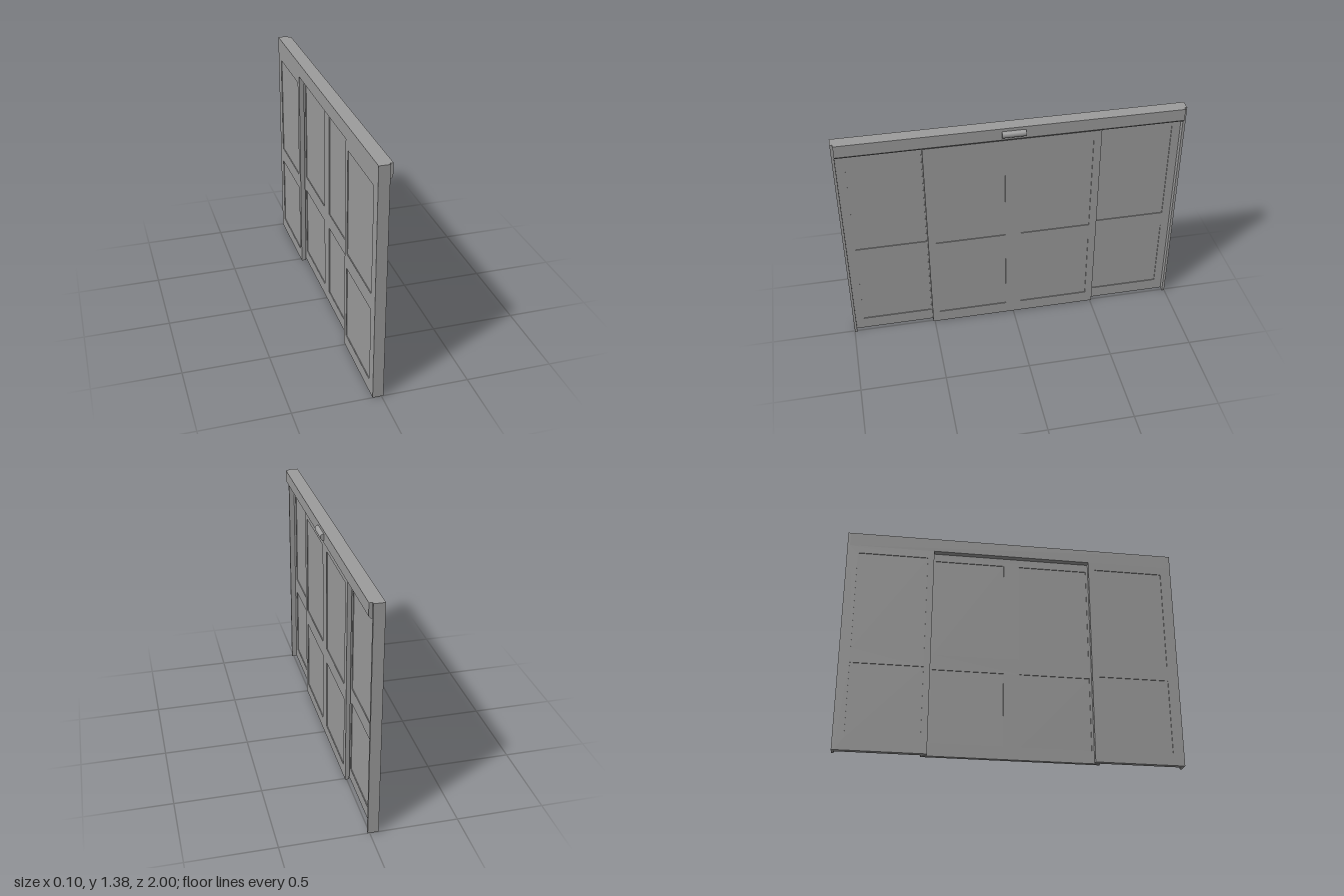
import * as THREE from 'three';

const GREY = 0x9c9c9c;
const mat = new THREE.MeshStandardMaterial({ color: GREY, flatShading: true });
const smoothMat = new THREE.MeshStandardMaterial({ color: GREY });
const H = 1.38, DOOR_TOP = 1.295, BACK = -0.05, FRONT = 0.011;

function box(name, x0, x1, y0, y1, z0, z1) {
  const m = new THREE.Mesh(new THREE.BoxGeometry(x1 - x0, y1 - y0, z1 - z0), mat);
  m.position.set((x0 + x1) / 2, (y0 + y1) / 2, (z0 + z1) / 2);
  m.name = name;
  return m;
}

function rectPath(path, z0, z1, y0, y1) {
  path.moveTo(z0, y0);
  path.lineTo(z1, y0);
  path.lineTo(z1, y1);
  path.lineTo(z0, y1);
  path.closePath();
  return path;
}

// Door panel: a frame with two openings per column and thin panes set into them
function panel(name, x0, x1, z0, z1, columns) {
  const g = new THREE.Group();
  g.name = name;
  const rows = [[0.075, 0.525], [0.62, 1.245]];
  // shape x runs along -z once the extrusion is turned to face +x
  const shape = rectPath(new THREE.Shape(), -z1, -z0, 0, DOOR_TOP);
  for (const [p0, p1] of columns) {
    for (const [y0, y1] of rows) {
      shape.holes.push(rectPath(new THREE.Path(), -p1, -p0, y0, y1));
      g.add(box('pane', x0 + 0.005, x1 - 0.005, y0, y1, p0, p1));
    }
  }
  const geo = new THREE.ExtrudeGeometry(shape, { depth: x1 - x0, bevelEnabled: false });
  geo.rotateY(Math.PI / 2);
  geo.translate(x0, 0, 0);
  const frame = new THREE.Mesh(geo, mat);
  frame.name = 'panelFrame';
  g.add(frame);
  return g;
}

// Extrudes an x-y profile along z, centred
function alongZ(name, points, length) {
  const shape = new THREE.Shape(points.map(([x, y]) => new THREE.Vector2(x, y)));
  const geo = new THREE.ExtrudeGeometry(shape, { depth: length, bevelEnabled: false });
  geo.translate(0, 0, -length / 2);
  const m = new THREE.Mesh(geo, mat);
  m.name = name;
  return m;
}

export function createModel() {
  const model = new THREE.Group();
  model.name = 'slidingDoor';

  // Header beam and the projecting drive cover with a sloped lower edge
  model.add(box('headerBeam', BACK, FRONT, DOOR_TOP, H, -0.985, 0.985));
  model.add(alongZ('headerCover', [
    [FRONT, DOOR_TOP], [0.018, DOOR_TOP], [0.03, 1.308], [0.03, H], [FRONT, H],
  ], 1.97));

  // Half-round motion sensor on the header
  const sensorGeo = new THREE.CylinderGeometry(0.02, 0.02, 0.135, 24, 1, false, 0, Math.PI);
  sensorGeo.rotateX(Math.PI / 2);
  const sensor = new THREE.Mesh(sensorGeo, smoothMat);
  sensor.name = 'sensor';
  sensor.position.set(0.03, 1.342, 0);
  model.add(sensor);

  // Jambs and the fixed side panels at the back
  model.add(box('leftJamb', BACK, FRONT, 0, H, 0.985, 1));
  model.add(box('rightJamb', BACK, FRONT, 0, H, -1, -0.985));
  model.add(panel('leftFixedPanel', BACK, -0.021, 0.477, 0.985, [[0.515, 0.935]]));
  model.add(panel('rightFixedPanel', BACK, -0.021, -0.985, -0.477, [[-0.935, -0.515]]));

  // Closed pair of sliding doors in front of the fixed panels
  model.add(panel('slidingDoors', -0.015, 0.009, -0.51, 0.51, [[-0.465, -0.047], [0.047, 0.465]]));
  return model;
}
